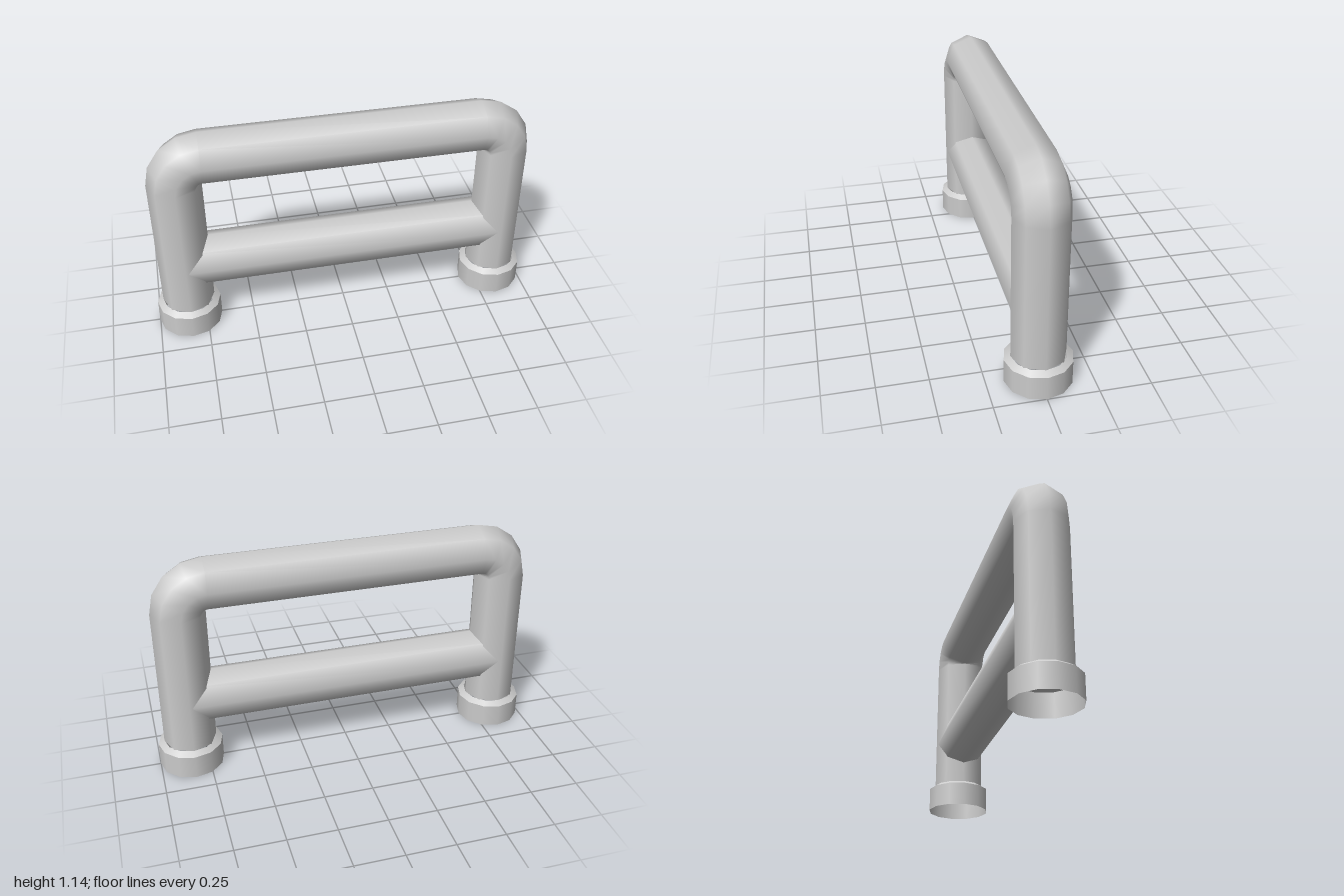
import * as THREE from 'three';

const LEG_X = 0.835;    // leg axis
const RADIUS = 0.134;   // frame pipe radius, also its bend radius
const RAIL_Y = 1.007;   // top rail axis
const SIDES = 8;

// Eight-sided pipe through sections { x, y, a }, a = angle of the outward direction
function bentPipe(sections) {
  const pos = [], nor = [], idx = [];
  for (const { x, y, a } of sections) {
    for (let j = 0; j <= SIDES; j++) {
      const t = (j / SIDES) * Math.PI * 2;
      const n = [Math.cos(t) * Math.cos(a), Math.cos(t) * Math.sin(a), Math.sin(t)];
      pos.push(x + n[0] * RADIUS, y + n[1] * RADIUS, n[2] * RADIUS);
      nor.push(...n);
    }
  }
  const row = SIDES + 1;
  for (let i = 0; i < sections.length - 1; i++) {
    for (let j = 0; j < SIDES; j++) {
      const p = i * row + j, q = p + row;
      idx.push(p, p + 1, q, p + 1, q + 1, q);
    }
  }
  const g = new THREE.BufferGeometry();
  g.setAttribute('position', new THREE.Float32BufferAttribute(pos, 3));
  g.setAttribute('normal', new THREE.Float32BufferAttribute(nor, 3));
  g.setIndex(idx);
  return g;
}

export function createModel() {
  const group = new THREE.Group();
  const mat = new THREE.MeshStandardMaterial({ color: 0xcccccc, side: THREE.DoubleSide });
  const add = (name, geo, parent = group) => {
    const mesh = new THREE.Mesh(geo, mat);
    mesh.name = name;
    parent.add(mesh);
    return mesh;
  };

  // Legs and top rail: one pipe with a tight four-step bend at each corner
  const sections = [{ x: LEG_X, y: 0.14, a: 0 }];
  for (const side of [1, -1]) {
    for (let i = 0; i <= 4; i++) {
      const k = side > 0 ? i : 4 - i;
      const a = (k / 4) * Math.PI / 2;
      sections.push({
        x: side * (LEG_X - RADIUS + RADIUS * Math.cos(a)),
        y: RAIL_Y - RADIUS + RADIUS * Math.sin(a),
        a: side > 0 ? a : Math.PI - a,
      });
    }
  }
  sections.push({ x: -LEG_X, y: 0.14, a: Math.PI });
  add('frame', bentPipe(sections));

  // Crossbar running into both legs
  const bar = new THREE.CylinderGeometry(0.139, 0.139, 1.64, SIDES, 1, true);
  bar.rotateZ(Math.PI / 2);
  bar.scale(1, 1, 0.92);
  add('crossbar', bar).position.y = 0.39;

  // Hollow foot collars with a bevelled shoulder
  for (const side of [1, -1]) {
    const collar = new THREE.Group();
    collar.name = side > 0 ? 'leftCollar' : 'rightCollar';
    collar.position.x = side * LEG_X;
    add('collarWall', new THREE.CylinderGeometry(0.165, 0.165, 0.122, 12, 1, true), collar).position.y = 0.061;
    add('collarShoulder', new THREE.CylinderGeometry(0.134, 0.165, 0.02, 12, 1, true), collar).position.y = 0.132;
    group.add(collar);
  }
  return group;
}
